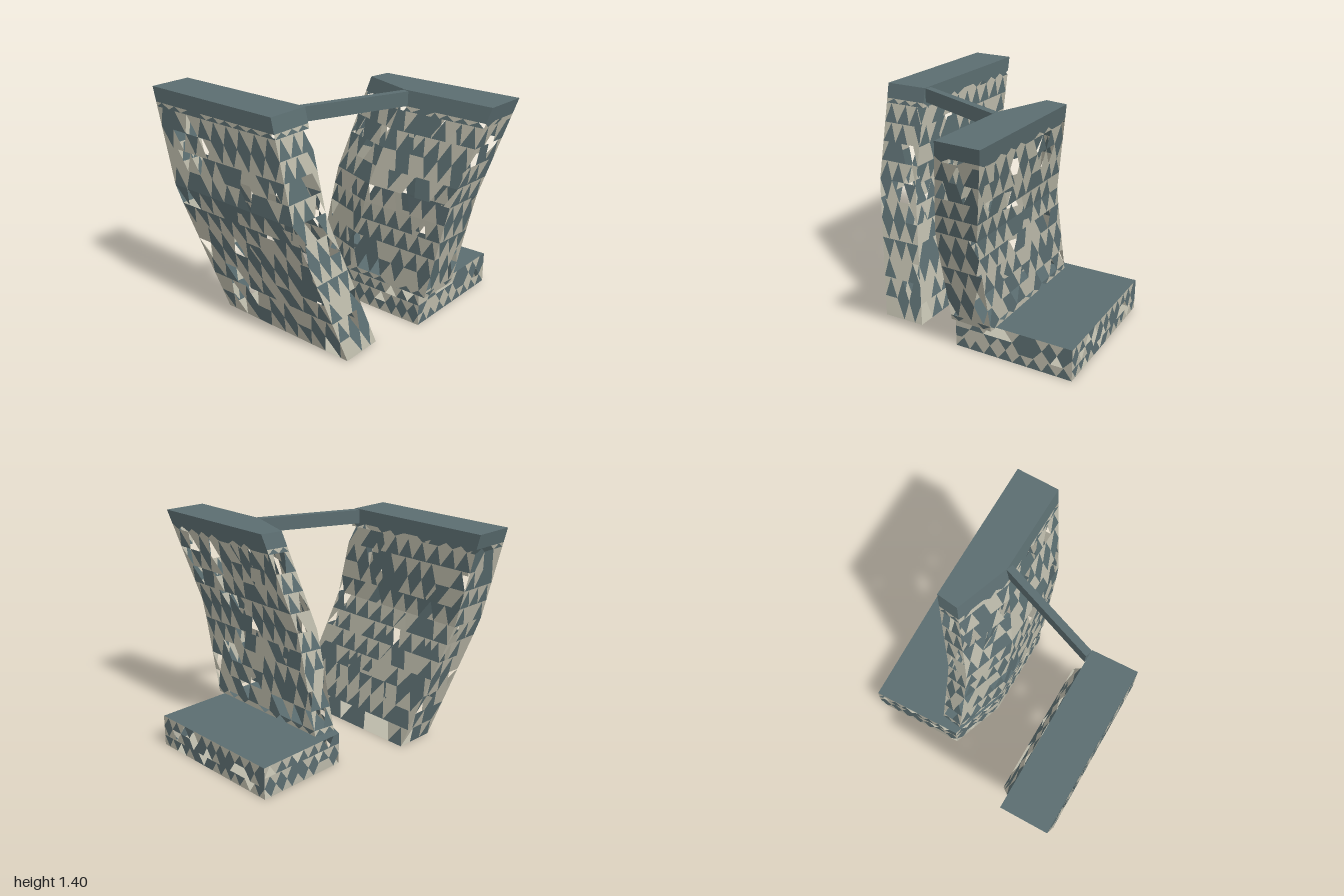
import * as THREE from 'three';

const dark = new THREE.MeshStandardMaterial({ color: 0x5b6d70, side: THREE.DoubleSide });
dark.name = 'slate panel';
const light = new THREE.MeshStandardMaterial({ color: 0xbab8a8, side: THREE.DoubleSide });
light.name = 'stone panel';

const STEP = 0.117, BAND = 1.315, TOP = 1.405;

// footprints run counter-clockwise seen from above: front left, front right, back...
const frontPlan = [[-0.6, 0.44], [0.36, 0.685], [0.415, 0.42], [-0.54, 0.18]];
const rearPlan = [[-0.32, -0.21], [-0.01, -0.01], [0.56, 0.135], [0.63, -0.13], [-0.27, -0.34]];
const podiumPlan = [[-0.32, -0.215], [-0.01, -0.01], [0.565, 0.135], [0.73, -0.61], [-0.195, -0.805]];

// sideways drift of a footprint at heights 0, 0.8 and the top
const frontLean = [[0, 0], [-0.26, 0.12], [-0.4, 0.09]];
const rearLean = [[0, 0], [0.18, 0.04], [0.37, -0.05]];
const upright = [[0, 0], [0, 0], [0, 0]];

function seeded(seed) {
  return () => {
    seed = (seed * 16807) % 2147483647;
    return seed / 2147483647;
  };
}

// footprint corner carried up to height y along the lean
function corner(p, lean, y) {
  const k = y < 0.8 ? 0 : 1;
  const t = k ? (y - 0.8) / (TOP - 0.8) : y / 0.8;
  const at = (i) => p[i] + lean[k][i] + (lean[k + 1][i] - lean[k][i]) * t;
  return new THREE.Vector3(at(0), y, at(1));
}

function meshFrom(points, material, name) {
  const g = new THREE.BufferGeometry().setFromPoints(points);
  g.computeVertexNormals();
  const m = new THREE.Mesh(g, material);
  m.name = name;
  return m;
}

// flat lid over a footprint, facing up or down
function cap(plan, lean, y, up) {
  const c = plan.map((p) => corner(p, lean, y));
  const out = [];
  for (let i = 1; i < c.length - 1; i++) {
    if (up) out.push(c[0], c[i], c[i + 1]);
    else out.push(c[0], c[i + 1], c[i]);
  }
  return out;
}

// solid wall ring between two heights
function ring(plan, lean, y0, y1) {
  const out = [];
  plan.forEach((p, i) => {
    const q = plan[(i + 1) % plan.length];
    const a = corner(p, lean, y0), b = corner(q, lean, y0);
    const c = corner(q, lean, y1), d = corner(p, lean, y1);
    out.push(a, b, c, a, c, d);
  });
  return out;
}

// triangulated skin: rows of slate and stone triangles with some left open
function facade(plan, lean, levels, cell, seed, name) {
  const rnd = seeded(seed);
  const slate = [], stone = [];
  const put = (mainly, a, b, c, s, y) => {
    const cluster = Math.sin(s * 9 + seed) * Math.sin(y * 8 + seed * 0.7);
    if (rnd() < 0.09 + 0.2 * Math.max(0, cluster)) return;
    const toSlate = rnd() < 0.88 ? mainly : !mainly;
    (toSlate ? slate : stone).push(a, b, c);
  };
  plan.forEach((p, w) => {
    const q = plan[(w + 1) % plan.length];
    const length = Math.hypot(q[0] - p[0], q[1] - p[1]);
    const n = Math.max(2, Math.round(length / cell));
    for (let r = 0; r < levels.length - 1; r++) {
      const y0 = levels[r], y1 = levels[r + 1], flip = rnd() < 0.35;
      const bl = corner(p, lean, y0), br = corner(q, lean, y0);
      const tl = corner(p, lean, y1), tr = corner(q, lean, y1);
      const base = (t) => (flip ? tl.clone().lerp(tr, t) : bl.clone().lerp(br, t));
      const tip = (t) => (flip ? bl.clone().lerp(br, t) : tl.clone().lerp(tr, t));
      const add = (mainly, a, b, c, s) =>
        flip ? put(mainly, a, c, b, s, y0) : put(mainly, a, b, c, s, y0);
      let last = 0;
      for (let i = 0; i < n; i++) {
        const apex = (i + 0.4 + 0.2 * rnd()) / n, s = (i / n) * length;
        add(true, base(i / n), base((i + 1) / n), tip(apex), s);
        add(false, base(i / n), tip(apex), tip(last), s);
        last = apex;
      }
      add(false, base(1), tip(1), tip(last), length);
    }
  });
  const g = new THREE.Group();
  g.name = name;
  g.add(meshFrom(slate, dark, 'slateTriangles'), meshFrom(stone, light, 'stoneTriangles'));
  return g;
}

// leaning tower with a solid roof slab
function tower(plan, lean, bottom, seed, name) {
  const levels = [bottom];
  for (let i = 1; i <= 11; i++) if (i * STEP > bottom + 0.01) levels.push(i * STEP);
  levels.push(BAND);
  const g = new THREE.Group();
  g.name = name;
  g.add(facade(plan, lean, levels, 0.105, seed, 'facade'));
  g.add(meshFrom([
    ...ring(plan, lean, BAND, TOP),
    ...cap(plan, lean, TOP, true),
  ], dark, 'roofSlab'));
  if (bottom === 0) g.add(meshFrom(cap(plan, lean, 0, false), light, 'floor'));
  return g;
}

export function createModel() {
  const model = new THREE.Group();
  model.name = 'twinTowers';
  model.add(tower(frontPlan, frontLean, 0, 4711, 'frontTower'));
  model.add(tower(rearPlan, rearLean, 0.2, 9203, 'rearTower'));

  // low podium under the rear tower
  const podium = new THREE.Group();
  podium.name = 'podium';
  podium.add(facade(podiumPlan, upright, [0, 0.067, 0.133, 0.2], 0.09, 3307, 'podiumFacade'));
  podium.add(meshFrom(cap(podiumPlan, upright, 0.2, true), dark, 'podiumRoof'));
  podium.add(meshFrom(cap(podiumPlan, upright, 0, false), light, 'podiumFloor'));
  model.add(podium);

  // skybridge between the two roofs
  const from = new THREE.Vector2(-0.01, 0.5), to = new THREE.Vector2(0.37, -0.05);
  const bridge = new THREE.Mesh(
    new THREE.BoxGeometry(0.045, TOP - BAND - 0.004, from.distanceTo(to)), dark);
  bridge.name = 'skybridge';
  bridge.position.set((from.x + to.x) / 2, (TOP + BAND) / 2, (from.y + to.y) / 2);
  bridge.rotation.y = Math.atan2(to.x - from.x, to.y - from.y);
  model.add(bridge);
  return model;
}
